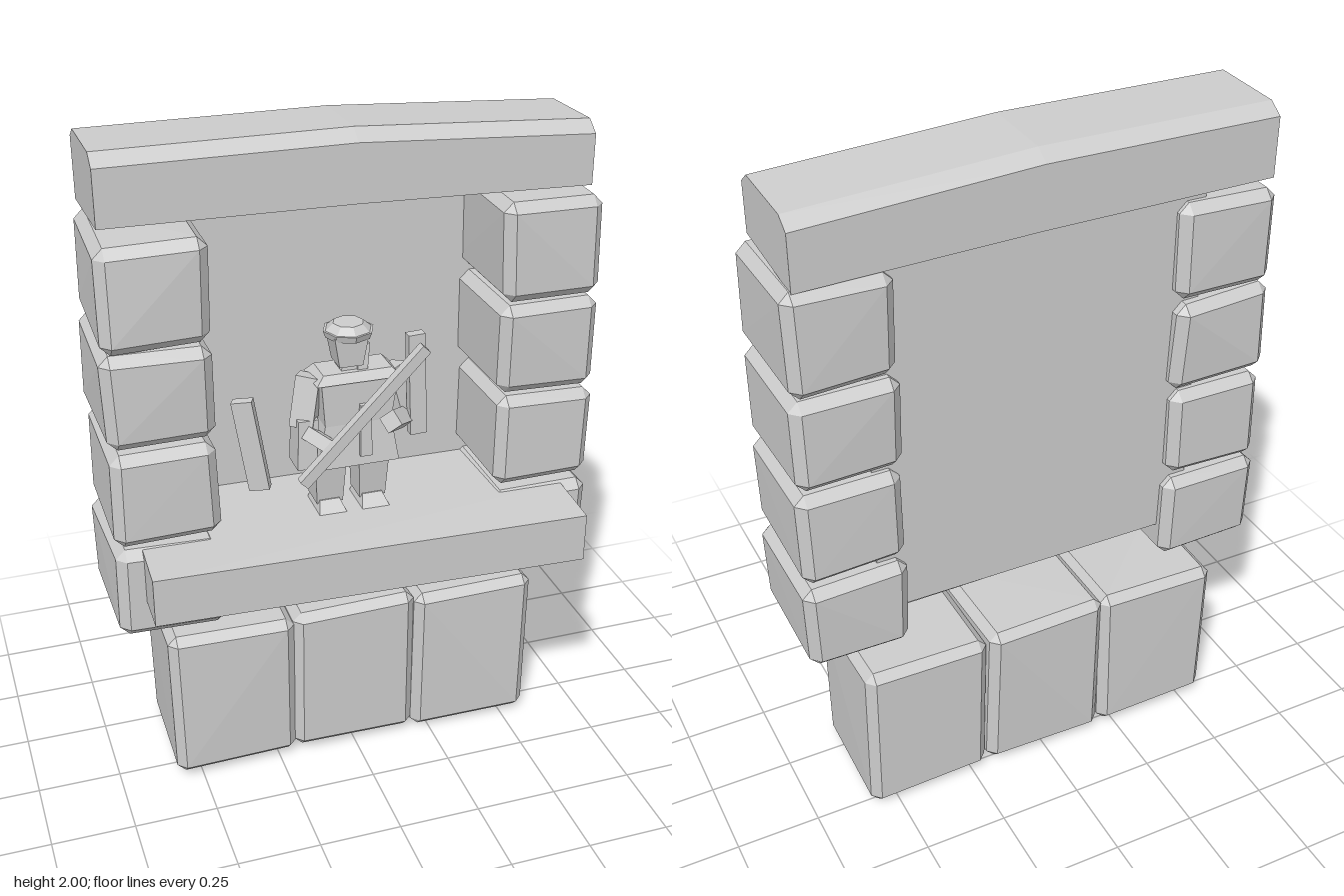
import * as THREE from 'three';
import { ConvexGeometry } from 'three/addons/geometries/ConvexGeometry.js';

const stone = new THREE.MeshStandardMaterial({ color: 0xcccccc });
stone.name = 'paleStone';

// Small seeded generator, returns -1..1
let seed = 7;
const wobble = () => {
  seed = (seed * 16807) % 2147483647;
  return (seed / 2147483647) * 2 - 1;
};

function add(parent, name, geometry) {
  const mesh = new THREE.Mesh(geometry, stone);
  mesh.name = name;
  parent.add(mesh);
  return mesh;
}

const hull = (points) => new ConvexGeometry(points.map((p) => new THREE.Vector3(...p)));

// Rough block with chamfered edges; each corner is nudged a little inwards
function block(parent, name, [x0, x1], [y0, y1], [z0, z1], c = 0.028, rough = 0.012) {
  const points = [];
  for (const sx of [-1, 1]) for (const sy of [-1, 1]) for (const sz of [-1, 1]) {
    const n = () => Math.abs(wobble()) * rough;
    const x = (sx < 0 ? x0 : x1) - sx * n();
    const y = (sy < 0 ? y0 : y1) - sy * n();
    const z = (sz < 0 ? z0 : z1) - sz * n();
    points.push([x, y - sy * c, z - sz * c], [x - sx * c, y, z - sz * c], [x - sx * c, y - sy * c, z]);
  }
  return add(parent, name, hull(points));
}

// Tapered box between two rectangles [x0, x1, z0, z1] at heights y0 and y1
function taper(parent, name, y0, a, y1, b) {
  const points = [];
  for (const [y, r] of [[y0, a], [y1, b]])
    for (const i of [0, 1]) for (const j of [2, 3]) points.push([r[i], y, r[j]]);
  return add(parent, name, hull(points));
}

// Straight bar from one point to another
function bar(parent, name, from, to, width, depth) {
  const a = new THREE.Vector3(...from), b = new THREE.Vector3(...to);
  const mesh = add(parent, name, new THREE.BoxGeometry(width, a.distanceTo(b), depth));
  mesh.position.copy(a).add(b).multiplyScalar(0.5);
  mesh.quaternion.setFromUnitVectors(new THREE.Vector3(0, 1, 0), b.sub(a).normalize());
  return mesh;
}

function buildFigure() {
  const f = new THREE.Group();
  f.name = 'figure';

  // Feet and legs
  for (const [side, x] of [['right', -0.07], ['left', 0.062]]) {
    taper(f, side + 'Foot', 0.85, [x - 0.045, x + 0.045, -0.05, 0.085], 0.888, [x - 0.03, x + 0.03, -0.045, 0.04]);
    taper(f, side + 'Leg', 0.875, [x - 0.038, x + 0.042, -0.05, 0.035], 1.03, [x - 0.045, x + 0.05, -0.05, 0.05]);
  }

  // Coat, shoulders and sash
  taper(f, 'coatSkirt', 1.01, [-0.12, 0.13, -0.07, 0.08], 1.14, [-0.09, 0.11, -0.055, 0.065]);
  taper(f, 'coatChest', 1.14, [-0.09, 0.11, -0.055, 0.065], 1.275, [-0.1, 0.13, -0.06, 0.065]);
  taper(f, 'collar', 1.27, [-0.115, 0.14, -0.06, 0.07], 1.295, [-0.09, 0.115, -0.045, 0.05]);
  taper(f, 'sash', 1.04, [0.01, 0.045, 0.05, 0.087], 1.2, [0.012, 0.045, 0.05, 0.08]);

  // Head and hat
  taper(f, 'neck', 1.28, [-0.035, 0.04, -0.03, 0.035], 1.32, [-0.025, 0.035, -0.03, 0.03]);
  taper(f, 'head', 1.31, [-0.04, 0.03, -0.035, 0.045], 1.4, [-0.055, 0.045, -0.045, 0.05]);
  bar(f, 'hairLock', [0.04, 1.37, 0.02], [0.03, 1.29, 0.03], 0.022, 0.03);
  const brim = add(f, 'hatBrim', new THREE.CylinderGeometry(0.075, 0.068, 0.02, 8).toNonIndexed());
  brim.position.set(0, 1.4, 0);
  brim.geometry.computeVertexNormals();
  const crown = add(f, 'hatCrown', new THREE.CylinderGeometry(0.045, 0.068, 0.02, 8).toNonIndexed());
  crown.position.set(0, 1.42, 0);
  crown.geometry.computeVertexNormals();

  // Arms, sleeves and hands
  bar(f, 'rightUpperArm', [-0.115, 1.28, 0], [-0.142, 1.13, 0.015], 0.055, 0.07);
  taper(f, 'rightSleeve', 1.01, [-0.172, -0.115, -0.03, 0.06], 1.16, [-0.165, -0.105, -0.03, 0.05]);
  bar(f, 'rightForearm', [-0.14, 1.12, 0.03], [-0.085, 1.1, 0.12], 0.04, 0.04);
  bar(f, 'leftUpperArm', [0.13, 1.275, 0], [0.165, 1.13, 0.02], 0.055, 0.07);
  bar(f, 'leftForearm', [0.165, 1.12, 0.03], [0.09, 1.155, 0.115], 0.05, 0.05);
  bar(f, 'leftSleevePlank', [0.18, 1.395, 0.06], [0.192, 1.08, 0.06], 0.05, 0.03);

  // Staff held across the body
  bar(f, 'staff', [-0.18, 1.01, 0.137], [0.18, 1.385, 0.143], 0.032, 0.028);
  return f;
}

export function createModel() {
  const model = new THREE.Group();
  model.name = 'stoneNiche';
  seed = 7;

  // Three large base stones
  const bases = [
    [[-0.585, -0.187], [0.01, 0.52], [-0.3, 0.09]],
    [[-0.2, 0.195], [0.01, 0.527], [-0.3, 0.09]],
    [[0.19, 0.585], [0, 0.515], [-0.29, 0.09]],
  ];
  bases.forEach((b, i) => block(model, 'baseStone' + (i + 1), ...b, 0.026));

  // Side columns of four stones each
  const rows = [[0.58, 0.868], [0.878, 1.178], [1.178, 1.468], [1.465, 1.772]];
  const outer = [0.732, 0.728, 0.728, 0.722];
  for (const [side, s] of [['left', 1], ['right', -1]])
    rows.forEach((y, i) => {
      const x = s > 0 ? [0.412, outer[i]] : [-outer[i], -0.41];
      block(model, side + 'ColumnStone' + (i + 1), x, y, [-0.262, 0.135]);
    });

  // Lintel: a left and a right half meeting at a slight bend
  const section = (x, bottom, top) => [
    [x, bottom + 0.02, 0.088], [x, top - 0.032, 0.088], [x, top, 0.045],
    [x, top - 0.005, -0.19], [x, top - 0.035, -0.235], [x, bottom, -0.235],
  ];
  const left = section(0.685, 1.765, 1.962), mid = section(0, 1.782, 2), right = section(-0.7, 1.788, 1.998);
  add(model, 'lintelRightHalf', hull([...right, ...mid]));
  add(model, 'lintelLeftHalf', hull([...mid, ...left]));

  // Back panel of the niche
  taper(model, 'backPanel', 0.69, [-0.5, 0.5, -0.212, -0.19], 1.8, [-0.5, 0.5, -0.212, -0.19]);

  // Shelf, slightly skewed
  add(model, 'shelf', hull([
    [-0.652, 0.715, 0.278], [-0.652, 0.862, 0.278], [0.642, 0.695, 0.3], [0.642, 0.845, 0.3],
    [-0.645, 0.7, 0.1], [-0.645, 0.862, 0.1], [0.648, 0.685, 0.1], [0.648, 0.852, 0.1],
    [-0.5, 0.69, -0.205], [-0.5, 0.862, -0.205], [0.5, 0.68, -0.205], [0.5, 0.855, -0.205],
  ]));

  // Figure standing on the shelf and a loose plank beside it
  model.add(buildFigure());
  bar(model, 'loosePlank', [-0.328, 1.255, 0.05], [-0.285, 0.975, 0.06], 0.06, 0.03);

  return model;
}
